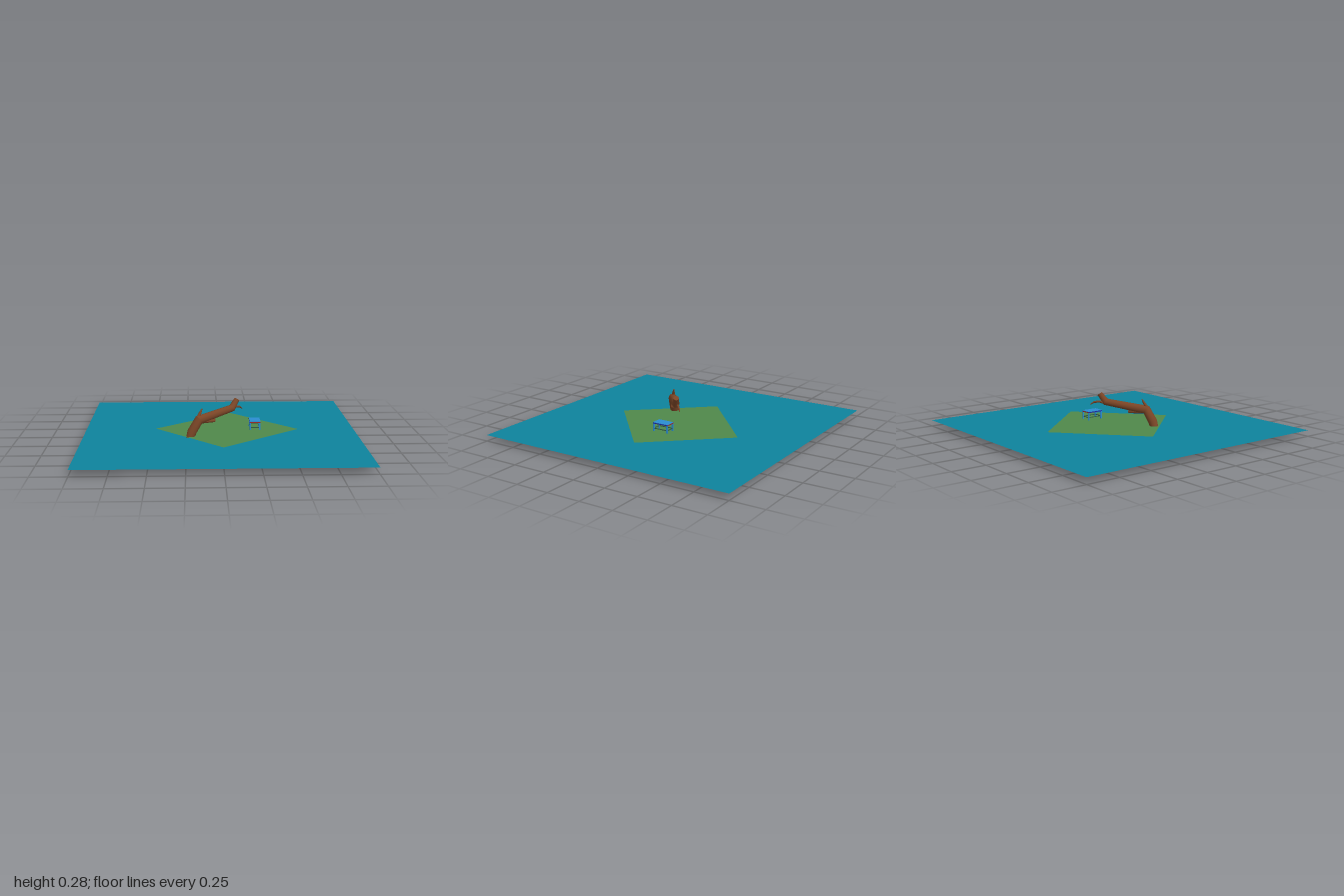
import * as THREE from 'three';
import { toCreasedNormals } from 'three/addons/utils/BufferGeometryUtils.js';

const SIDES = 12;
const mat = (color, side = THREE.FrontSide) => new THREE.MeshStandardMaterial({ color, side });
const V = (p) => new THREE.Vector3(...p);

function addMesh(parent, name, geometry, material, x = 0, y = 0, z = 0) {
  const mesh = new THREE.Mesh(geometry, material);
  mesh.name = name;
  mesh.position.set(x, y, z);
  parent.add(mesh);
  return mesh;
}

// Closed limb with mitred bends: one ring per path point, given as [x, y, z, radius]
function limbGeometry(path) {
  const pts = path.map(([x, y, z]) => V([x, y, z]));
  const side = V([0.62, 0, 0.78]);
  const pos = [], index = [];
  const last = pts.length - 1;
  pts.forEach((p, i) => {
    const a = pts[Math.min(i + 1, last)].clone().sub(pts[Math.min(i, last - 1)]).normalize();
    const b = i > 0 ? p.clone().sub(pts[i - 1]).normalize() : a.clone();
    const t = a.clone().add(b).normalize();
    const u = side.clone().addScaledVector(t, -side.dot(t)).normalize();
    const v = t.clone().cross(u);
    const mitre = 1 / Math.max(0.6, t.dot(b));
    const r = path[i][3];
    for (let k = 0; k < SIDES; k++) {
      const ang = (k / SIDES) * Math.PI * 2;
      const q = p.clone().addScaledVector(u, r * Math.cos(ang)).addScaledVector(v, r * mitre * Math.sin(ang));
      pos.push(q.x, q.y, q.z);
    }
  });
  const start = pos.length / 3, end = start + 1;
  pos.push(...pts[0].toArray(), ...pts[last].toArray());
  for (let k = 0; k < SIDES; k++) {
    const n = (k + 1) % SIDES;
    for (let i = 0; i < last; i++) {
      const a = i * SIDES + k, b = i * SIDES + n, c = a + SIDES, d = b + SIDES;
      index.push(a, b, d, a, d, c);
    }
    index.push(start, n, k, end, last * SIDES + k, last * SIDES + n);
  }
  const geo = new THREE.BufferGeometry();
  geo.setAttribute('position', new THREE.Float32BufferAttribute(pos, 3));
  geo.setIndex(index);
  return toCreasedNormals(geo, 0.65);
}

function createTree() {
  const tree = new THREE.Group();
  tree.name = 'fallenTree';
  const bark = mat(0x7a4526);
  const limbs = {
    trunk: [
      [-0.234, 0.013, 0.197, 0.027], [-0.21, 0.09, 0.187, 0.034], [-0.16, 0.172, 0.168, 0.032],
      [0.088, 0.217, -0.022, 0.026], [0.125, 0.277, -0.05, 0.02],
    ],
    lowerBranch: [[-0.165, 0.16, 0.17, 0.017], [-0.045, 0.151, 0.092, 0.014]],
    upperBranch: [[-0.178, 0.165, 0.18, 0.014], [-0.153, 0.215, 0.157, 0.011], [-0.137, 0.25, 0.143, 0.004]],
    twig: [
      [0.075, 0.205, -0.02, 0.011], [0.115, 0.219, -0.058, 0.009],
      [0.148, 0.214, -0.086, 0.007], [0.168, 0.194, -0.108, 0.003],
    ],
  };
  for (const [name, path] of Object.entries(limbs)) addMesh(tree, name, limbGeometry(path), bark);
  return tree;
}

function createTable() {
  const table = new THREE.Group();
  table.name = 'table';
  table.position.set(0.258, 0.06, -0.024);
  const W = 0.08, D = 0.126, H = 0.066, leg = 0.01;
  const blue = mat(0x2a8cd0), navy = mat(0x2020a0), red = mat(0xa02828), dark = mat(0x2f5a45);

  addMesh(table, 'tableTop', new THREE.BoxGeometry(W, 0.006, D), blue, 0, H - 0.003, 0);
  for (const s of [-1, 1]) {
    // Coloured aprons under the top
    addMesh(table, 'endApron', new THREE.BoxGeometry(W, 0.007, 0.004), red, 0, H - 0.0065, s * (D / 2 - 0.0015));
    addMesh(table, 'sideApron', new THREE.BoxGeometry(0.004, 0.007, D), navy, s * (W / 2 - 0.0015), H - 0.0065, 0);
    // Low stretchers between the legs
    addMesh(table, 'sideStretcher', new THREE.BoxGeometry(0.005, 0.005, D - leg), dark, s * (W - leg) / 2, 0.02, 0);
    addMesh(table, 'endStretcher', new THREE.BoxGeometry(W - leg, 0.005, 0.005), dark, 0, 0.02, s * (D - leg) / 2);
    for (const t of [-1, 1]) {
      addMesh(table, 'leg', new THREE.BoxGeometry(leg, H - 0.006, leg), blue,
        s * (W - leg) / 2, (H - 0.006) / 2, t * (D - leg) / 2);
    }
  }
  return table;
}

export function createModel() {
  const model = new THREE.Group();
  model.name = 'islandScene';
  const water = addMesh(model, 'water', new THREE.PlaneGeometry(2, 2), mat(0x0d839c, THREE.DoubleSide), 0, 0.05, 0);
  water.rotation.x = -Math.PI / 2;

  // Rotated rectangular lawn just above the water
  const lawnShape = new THREE.PlaneGeometry(0.764, 0.736).rotateX(-Math.PI / 2);
  const lawn = addMesh(model, 'lawn', lawnShape, mat(0x4f884a, THREE.DoubleSide), 0.05, 0.058, -0.018);
  lawn.rotation.y = THREE.MathUtils.degToRad(41.6);

  model.add(createTree(), createTable());
  return model;
}
